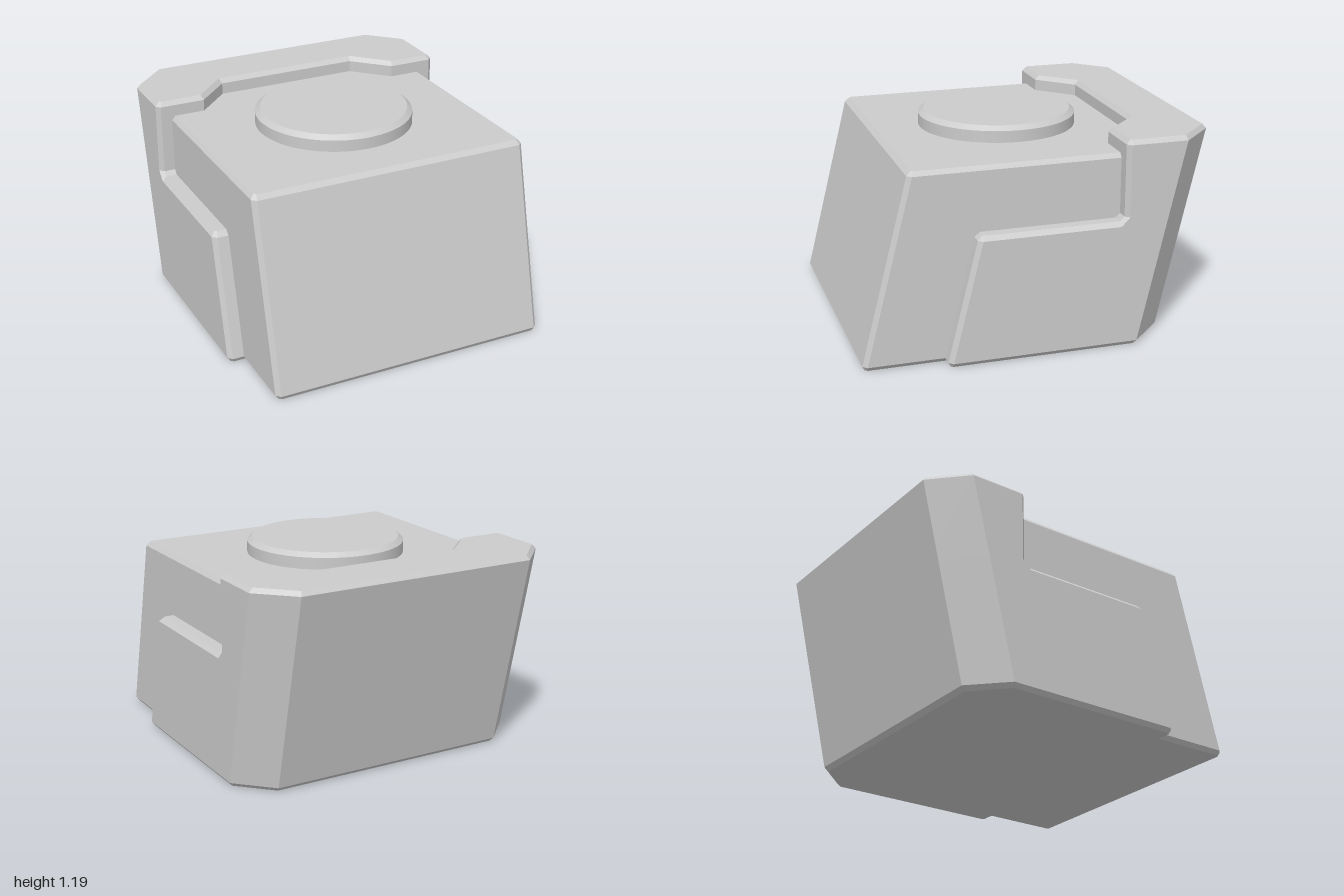
import * as THREE from 'three';

const BEVEL = 0.025;
const grey = new THREE.MeshStandardMaterial({ color: 0xcccccc, flatShading: true });
const smoothGrey = new THREE.MeshStandardMaterial({ color: 0xcccccc });

// Stacks mirrored horizontal outlines; each ring is [y, half outline [x, z] from front to back].
function loft(name, rings) {
  const loops = rings.map(([y, half]) => [
    ...half.map(([x, z]) => [x, y, z]),
    ...half.map(([x, z]) => [-x, y, z]).reverse(),
  ]);
  const pos = [];
  const tri = (a, b, c) => pos.push(...a, ...b, ...c);
  for (let r = 0; r < loops.length - 1; r++) {
    const low = loops[r], high = loops[r + 1], n = low.length;
    for (let i = 0; i < n; i++) {
      const j = (i + 1) % n;
      tri(low[i], low[j], high[j]);
      tri(low[i], high[j], high[i]);
    }
  }
  const cap = (loop, up) => {
    const flat = loop.map(([x, , z]) => new THREE.Vector2(x, -z));
    for (const [a, b, c] of THREE.ShapeUtils.triangulateShape(flat, [])) {
      if (up) tri(loop[a], loop[b], loop[c]);
      else tri(loop[c], loop[b], loop[a]);
    }
  };
  cap(loops[0], false);
  cap(loops[loops.length - 1], true);
  const geo = new THREE.BufferGeometry();
  geo.setAttribute('position', new THREE.Float32BufferAttribute(pos, 3));
  geo.computeVertexNormals();
  const mesh = new THREE.Mesh(geo, grey);
  mesh.name = name;
  return mesh;
}

// Leaning slopes of the front faces and the back wall
const lean = (z, slope, y) => z - slope * (y - BEVEL);

// Angled back corner of the casing, inset by d
function backCorner(y, d) {
  const back = lean(-0.735, 0.2315, y);
  return [[0.915 - d, back + 0.195 + 0.414 * d], [0.72 - 0.414 * d, back + d]];
}

// Slanted main block
function blockRing(y, d) {
  const front = lean(1, 0.252, y);
  return [y, [
    [0.8 - d * 0.4, front - d],
    [0.825 - d, front - BEVEL - d * 0.4],
    [0.825 - d, lean(-0.5, 0.25, y)],
  ]];
}

// Lower casing with its side panels
function lowerRing(y, dFront, dBack) {
  const front = lean(0.545, 0.246, y);
  return [y, [
    [0.89 - dFront * 0.4, front - dFront],
    [0.915 - dFront, front - BEVEL - dFront * 0.4],
    [0.915 - dFront, -0.43],
    [0.915 - dBack, -0.455],
    ...backCorner(y, dBack),
  ]];
}

// Raised back casing with a recess in front
function upperRing(y, front, d) {
  return [y, [
    [0.43 + d * 0.4, -0.65 - d],
    [0.625 + d * 0.4, front - d],
    [0.89 - d * 0.4, front - d],
    [0.915 - d, front - BEVEL - d * 0.4],
    ...backCorner(y, d),
  ]];
}

export function createModel() {
  const group = new THREE.Group();
  group.name = 'keyBlock';

  group.add(loft('mainBlock', [
    blockRing(0, 0.02), blockRing(BEVEL, 0), blockRing(1.075, 0), blockRing(1.1, 0.02),
  ]));
  group.add(loft('lowerCasing', [
    lowerRing(0, 0.02, 0.02), lowerRing(BEVEL, 0, 0), lowerRing(0.71, 0, 0), lowerRing(0.735, BEVEL, 0),
  ]));
  group.add(loft('upperCasing', [
    upperRing(0.71, -0.405, 0), upperRing(0.76, -0.455, 0),
    upperRing(1.167, -0.455, 0), upperRing(1.192, -0.455, BEVEL),
  ]));

  // Round button: wall, bevel and lid kept separate for sharp edges
  const button = new THREE.Group();
  button.name = 'roundButton';
  const ring = (name, top, bottom, y0, y1) => {
    const mesh = new THREE.Mesh(
      new THREE.CylinderGeometry(top, bottom, y1 - y0, 64, 1, true), smoothGrey);
    mesh.position.y = (y0 + y1) / 2;
    mesh.name = name;
    button.add(mesh);
  };
  ring('buttonWall', 0.455, 0.455, 1.08, 1.167);
  ring('buttonBevel', 0.425, 0.455, 1.167, 1.192);
  const lid = new THREE.Mesh(new THREE.CircleGeometry(0.425, 64), smoothGrey);
  lid.rotation.x = -Math.PI / 2;
  lid.position.y = 1.192;
  lid.name = 'buttonLid';
  button.add(lid);
  group.add(button);

  return group;
}
